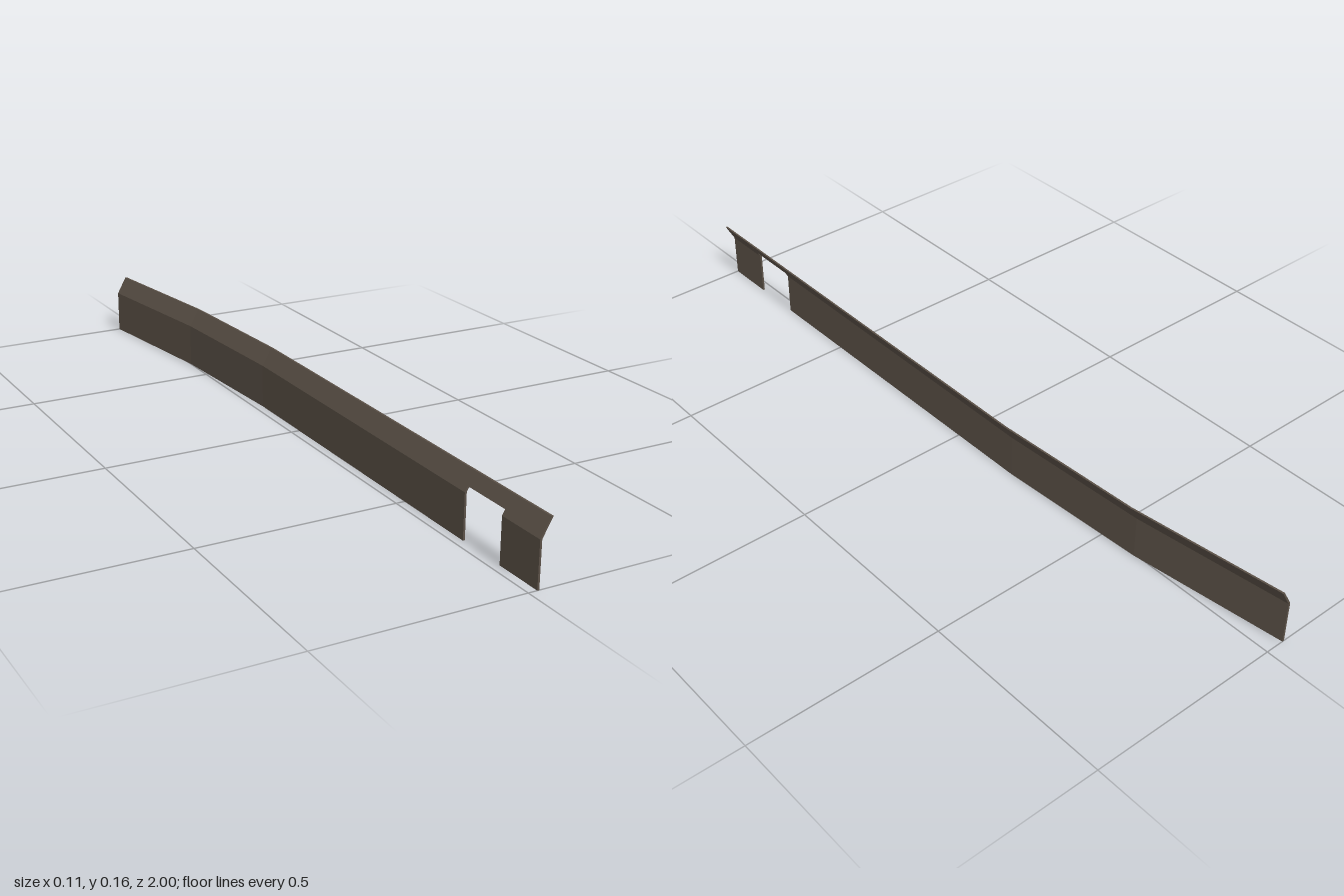
import * as THREE from 'three';

const THICK = 0.005;

// Inner-face x offset of the strip along its length: straight, then bending in two steps
const BENDS = [[1, 0.022], [-0.2, 0.022], [-0.6, 0], [-1, -0.053]];

// Sheet profile as [x offset, y], bottom to top
const FULL = [[0, 0], [0, 0.112], [0.025, 0.157]];
const ABOVE_NOTCH = [[0.007, 0.125], [0.025, 0.157]];

function pathX(z) {
  for (let i = 0; i < BENDS.length - 1; i++) {
    const [z0, x0] = BENDS[i], [z1, x1] = BENDS[i + 1];
    if (z >= z1) return x0 + (x1 - x0) * (z0 - z) / (z0 - z1);
  }
  return BENDS[BENDS.length - 1][1];
}

// Sweep a folded sheet of constant thickness through the stations (front to back)
function sweepSheet(profile, stations) {
  const pos = [];
  const quad = (a, b, c, d) => pos.push(...a, ...b, ...c, ...a, ...c, ...d);
  const rows = stations.map((z) => ({
    inner: profile.map(([dx, y]) => [pathX(z) + dx, y, z]),
    outer: profile.map(([dx, y]) => [pathX(z) + dx + THICK, y, z]),
  }));
  const top = profile.length - 1;
  for (let s = 0; s < rows.length - 1; s++) {
    const f = rows[s], b = rows[s + 1];
    for (let i = 0; i < top; i++) {
      quad(f.outer[i], b.outer[i], b.outer[i + 1], f.outer[i + 1]);
      quad(b.inner[i], f.inner[i], f.inner[i + 1], b.inner[i + 1]);
    }
    quad(f.inner[top], f.outer[top], b.outer[top], b.inner[top]);
    quad(b.inner[0], b.outer[0], f.outer[0], f.inner[0]);
  }
  // End faces
  const f = rows[0], b = rows[rows.length - 1];
  for (let i = 0; i < top; i++) {
    quad(f.inner[i], f.outer[i], f.outer[i + 1], f.inner[i + 1]);
    quad(b.outer[i], b.inner[i], b.inner[i + 1], b.outer[i + 1]);
  }
  const geo = new THREE.BufferGeometry();
  geo.setAttribute('position', new THREE.Float32BufferAttribute(pos, 3));
  geo.computeVertexNormals();
  return geo;
}

export function createModel() {
  const group = new THREE.Group();
  group.name = 'foldedTrimStrip';
  const material = new THREE.MeshStandardMaterial({ color: 0x5a5046 });
  material.name = 'darkBrown';

  const add = (name, profile, stations) => {
    const mesh = new THREE.Mesh(sweepSheet(profile, stations), material);
    mesh.name = name;
    group.add(mesh);
  };

  add('frontTab', FULL, [1, 0.87]);
  add('notchBridge', ABOVE_NOTCH, [0.87, 0.735]);
  add('mainStrip', FULL, [0.735, -0.2, -0.6, -1]);
  return group;
}
